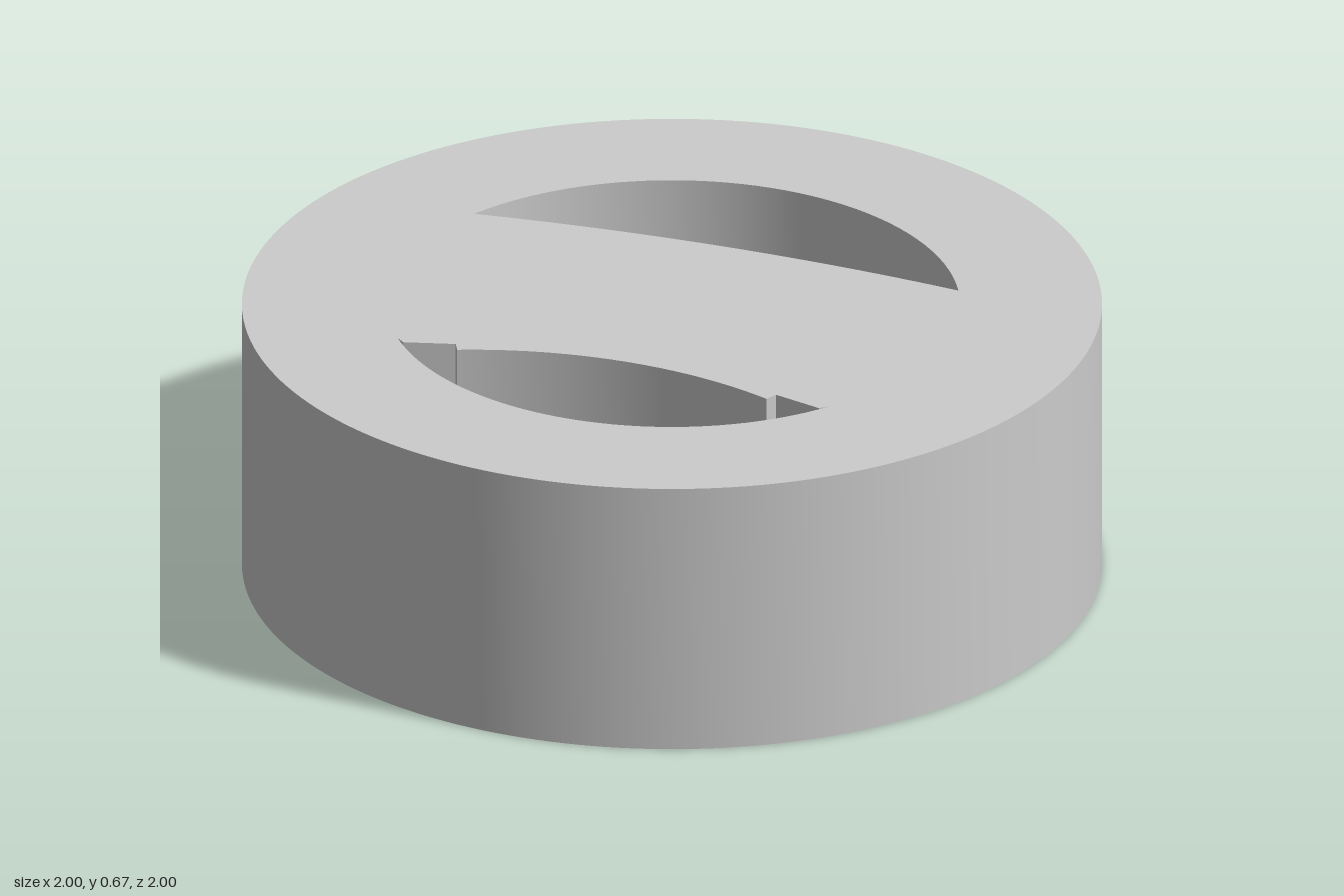
import * as THREE from 'three';
import { toCreasedNormals } from 'three/addons/utils/BufferGeometryUtils.js';

const HEIGHT = 0.67;
const WALL_RADIUS = 0.668;

// Points of a circular arc from (-halfWidth, yEnd) over (0, yMid) to (halfWidth, yEnd).
function arcPoints(halfWidth, yEnd, yMid, steps) {
  const rise = yMid - yEnd;
  const sag = Math.abs(rise);
  const radius = (halfWidth * halfWidth + sag * sag) / (2 * sag);
  const half = Math.asin(halfWidth / radius);
  const points = [];
  for (let i = 0; i <= steps; i++) {
    const a = -half + (2 * half * i) / steps;
    points.push(new THREE.Vector2(
      radius * Math.sin(a),
      yMid - Math.sign(rise) * radius * (1 - Math.cos(a))
    ));
  }
  return points;
}

export function createModel() {
  const group = new THREE.Group();
  group.name = 'slottedDisc';
  const material = new THREE.MeshStandardMaterial({ color: 0xcccccc });

  // Plan outline; shape y points to the back.
  const disc = new THREE.Shape();
  disc.absarc(0, 0, 1, 0, Math.PI * 2, false);

  // Back opening: round outer wall, slightly bowed bridge edge.
  const backOpening = new THREE.Path([
    ...arcPoints(0.6, 0.298, WALL_RADIUS, 40),
    ...arcPoints(0.6, 0.298, 0.333, 20).reverse().slice(1, -1),
  ]);

  // Front opening: round outer wall, hollowed bridge edge with a small notch at each end.
  const notch = [[0.535, -0.393], [0.515, -0.41], [0.397, -0.377], [0.383, -0.405]];
  const frontOpening = new THREE.Path([
    ...arcPoints(0.535, -0.393, -0.665, 40),
    ...notch.slice(1).map(([x, y]) => new THREE.Vector2(x, y)),
    ...arcPoints(0.383, -0.405, -0.33, 24).reverse().slice(1, -1),
    ...notch.slice(1).reverse().map(([x, y]) => new THREE.Vector2(-x, y)),
  ]);

  disc.holes.push(backOpening, frontOpening);

  // Thick disc, laid flat on the ground.
  const geometry = new THREE.ExtrudeGeometry(disc, {
    depth: HEIGHT,
    bevelEnabled: false,
    curveSegments: 96,
  });
  geometry.rotateX(-Math.PI / 2);

  const body = new THREE.Mesh(toCreasedNormals(geometry, 0.4), material);
  body.name = 'discBody';
  group.add(body);
  return group;
}
